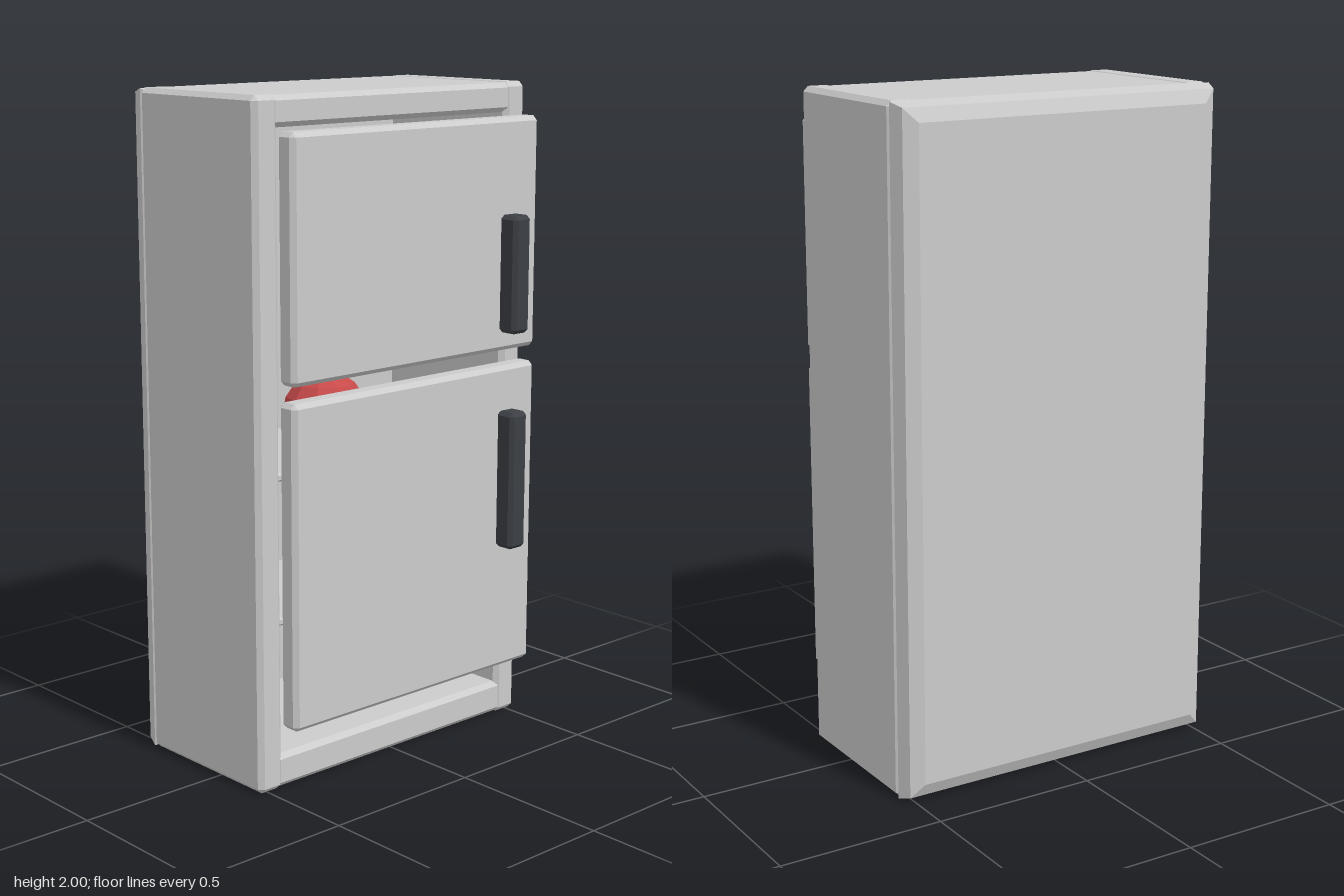
import * as THREE from 'three';
import { ConvexGeometry } from 'three/addons/geometries/ConvexGeometry.js';

const grey = new THREE.MeshStandardMaterial({ color: 0xcccccc, flatShading: true });
const dark = new THREE.MeshStandardMaterial({ color: 0x3c3f44, flatShading: true });
const red = new THREE.MeshStandardMaterial({ color: 0xc84a4a, flatShading: true });

// Box given by its limits, with every edge cut by a chamfer c
function chamferBox([x0, x1], [y0, y1], [z0, z1], c) {
  const half = [(x1 - x0) / 2, (y1 - y0) / 2, (z1 - z0) / 2];
  const points = [];
  for (const sx of [-1, 1]) for (const sy of [-1, 1]) for (const sz of [-1, 1])
    for (let axis = 0; axis < 3; axis++) {
      const [x, y, z] = half.map((h, i) => (i === axis ? h : h - c));
      points.push(new THREE.Vector3(sx * x, sy * y, sz * z));
    }
  return new ConvexGeometry(points).translate((x0 + x1) / 2, (y0 + y1) / 2, (z0 + z1) / 2);
}

export function createModel() {
  const group = new THREE.Group();
  const add = (name, geometry, material = grey) => {
    const mesh = new THREE.Mesh(geometry, material);
    mesh.name = name;
    group.add(mesh);
    return mesh;
  };

  // Hollow cabinet: two sides, top and bottom
  add('leftSide', chamferBox([0.445, 0.532], [0, 2], [-0.315, 0.2], 0.015));
  add('rightSide', chamferBox([-0.532, -0.445], [0, 2], [-0.315, 0.2], 0.015));
  add('topPanel', chamferBox([-0.47, 0.47], [1.91, 1.998], [-0.315, 0.198], 0.015));
  add('bottomPanel', chamferBox([-0.47, 0.47], [0.003, 0.105], [-0.315, 0.198], 0.015));

  // Back panel, narrowing towards the rear in two bevels
  const rings = [[-0.29, 0.515, 0.985], [-0.312, 0.53, 0.998], [-0.355, 0.515, 0.985], [-0.374, 0.475, 0.945]];
  const backPoints = [];
  for (const [z, x, y] of rings)
    for (const sx of [-1, 1]) for (const sy of [-1, 1])
      backPoints.push(new THREE.Vector3(sx * x, 1 + sy * y, z));
  add('backPanel', new ConvexGeometry(backPoints));

  // Inside shelves and the round fruit on the upper one
  for (const y of [0.5, 0.93])
    add('shelf', chamferBox([-0.45, 0.45], [y - 0.025, y], [-0.295, 0.15], 0.006));
  add('fruit', new THREE.SphereGeometry(0.125, 10, 8), red).position.set(-0.15, 1.055, 0.05);

  // Doors standing just off the cabinet, each with a bar handle
  const doors = [
    { name: 'upper', door: [1.21, 1.905], handle: [1.27, 1.622] },
    { name: 'lower', door: [0.208, 1.163], handle: [0.605, 1.03] },
  ];
  for (const { name, door, handle } of doors) {
    add(name + 'Door', chamferBox([-0.485, 0.485], door, [0.233, 0.302], 0.014));
    add(name + 'Handle', chamferBox([0.316, 0.387], handle, [0.3, 0.37], 0.012), dark);
  }
  return group;
}
